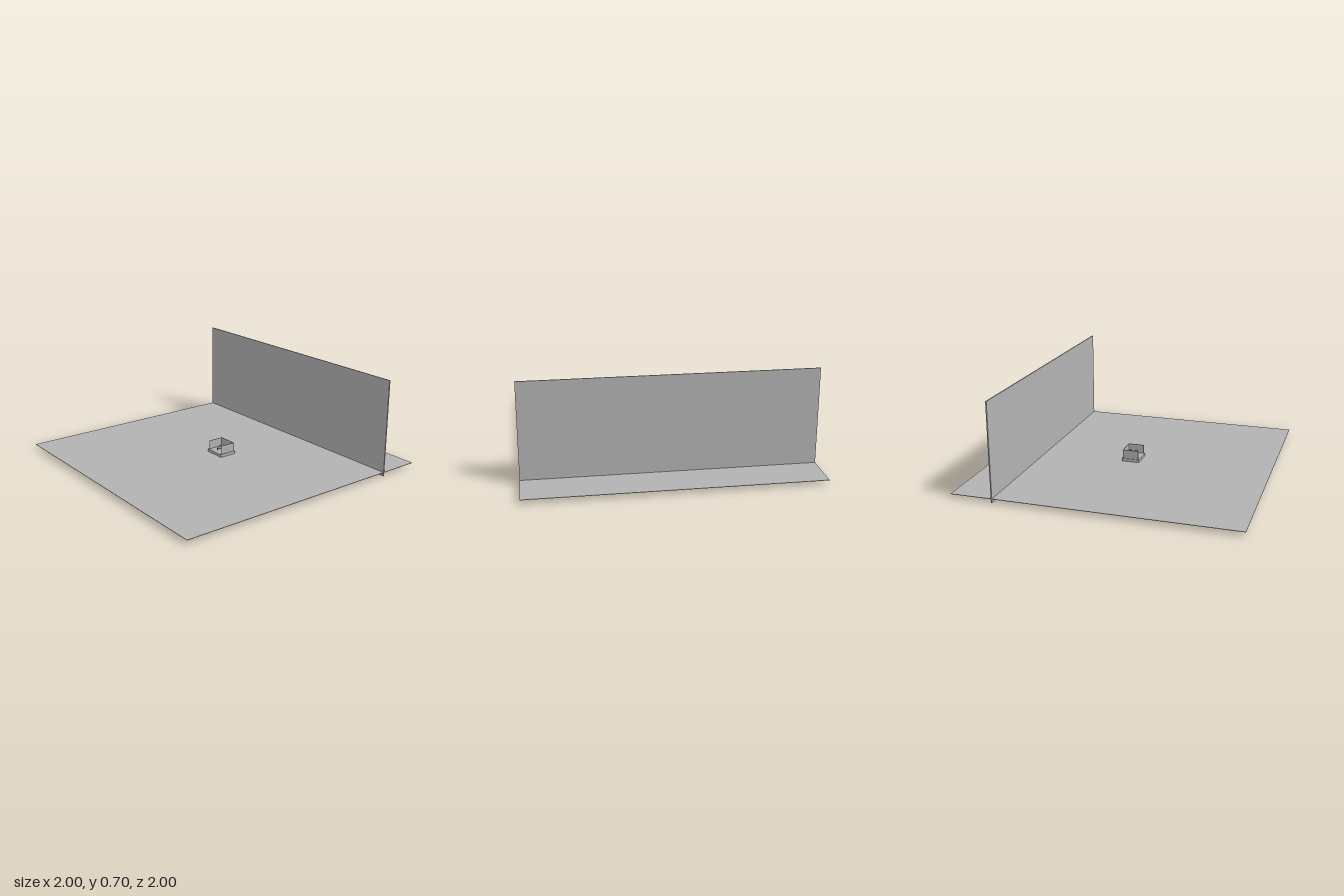
import * as THREE from 'three';

export function createModel() {
  const model = new THREE.Group();
  model.name = 'roomWithDiorama';
  const grey = new THREE.MeshStandardMaterial({ color: 0xb2b2b2 });
  grey.name = 'plain grey';

  // Box given by its centre in x and z and the height of its underside
  const box = (parent, name, w, h, d, x, y, z, turn = 0) => {
    const mesh = new THREE.Mesh(new THREE.BoxGeometry(w, h, d), grey);
    mesh.name = name;
    mesh.position.set(x, y + h / 2, z);
    mesh.rotation.y = turn;
    parent.add(mesh);
    return mesh;
  };

  // Large ground sheet and the backdrop passing through it
  box(model, 'ground', 2, 0.003, 2, 0, 0.027, 0);
  box(model, 'backdropWall', 2, 0.705, 0.008, 0, 0, -0.7);

  // Little open-fronted room on a plinth
  const room = new THREE.Group();
  room.name = 'miniatureRoom';
  room.position.set(0, 0.03, -0.026);
  model.add(room);
  box(room, 'plinth', 0.156, 0.021, 0.132, 0, 0, 0);
  box(room, 'roomBackWall', 0.146, 0.066, 0.004, 0, 0.02, -0.057);
  for (const side of [-1, 1]) {
    box(room, 'roomSideWall', 0.004, 0.066, 0.118, side * 0.071, 0.02, 0);
  }

  // Furniture: bench at the back, table turned in the middle, small posts
  const floor = 0.021;
  box(room, 'bench', 0.056, 0.014, 0.02, -0.032, floor, -0.043);
  const table = new THREE.Group();
  table.name = 'table';
  table.position.set(0, floor, 0.004);
  table.rotation.y = 0.95;
  room.add(table);
  box(table, 'tableTop', 0.064, 0.006, 0.028, 0, 0.016, 0);
  for (const x of [-0.026, 0.026]) {
    for (const z of [-0.01, 0.01]) box(table, 'tableLeg', 0.005, 0.017, 0.005, x, 0, z);
  }
  for (const z of [-0.04, 0.003]) box(room, 'stool', 0.014, 0.022, 0.014, 0.058, floor, z);
  box(room, 'leftRail', 0.028, 0.01, 0.004, -0.036, floor, -0.003);
  box(room, 'rightRail', 0.03, 0.01, 0.004, 0.037, floor, -0.003);

  return model;
}
